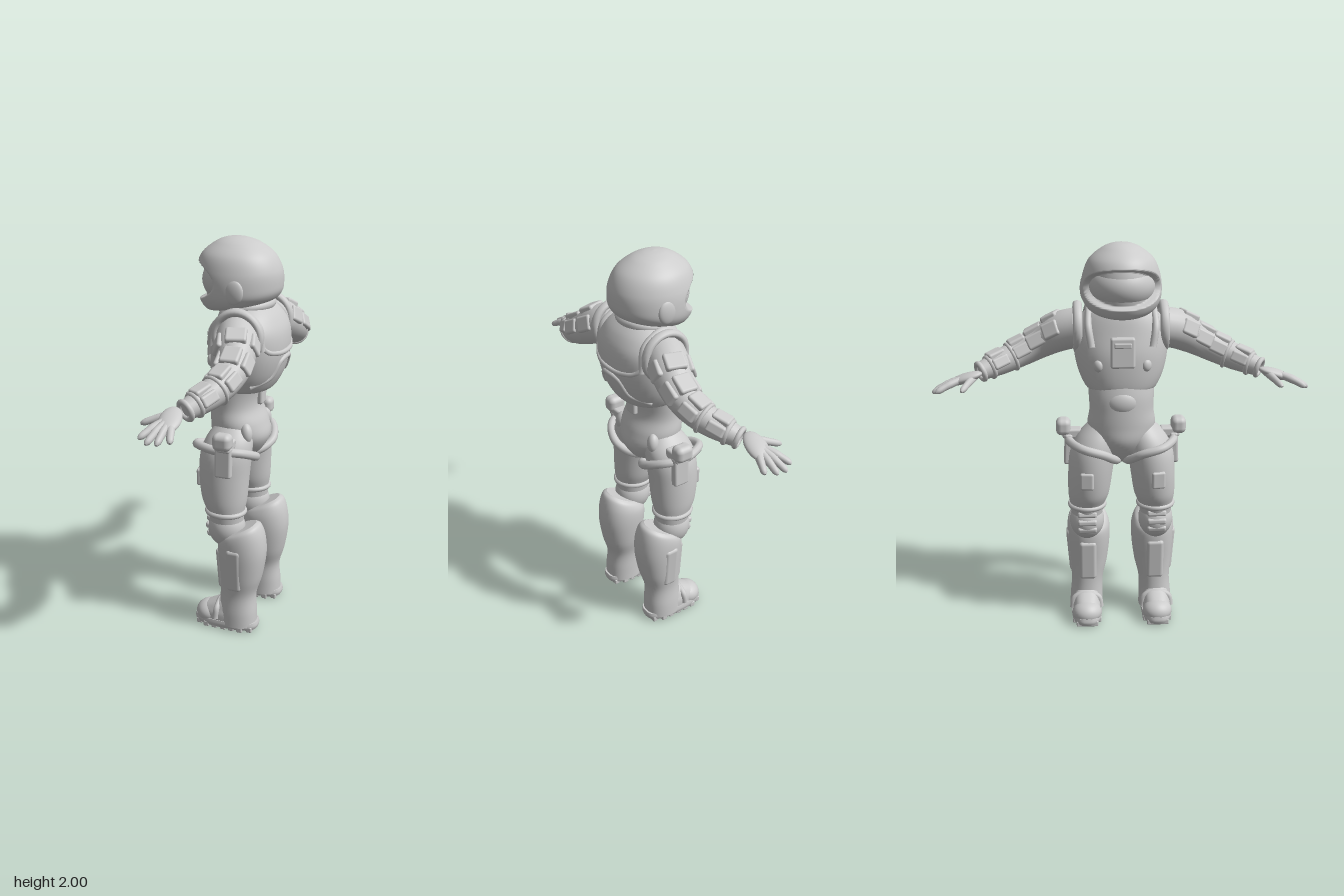
import * as THREE from 'three';
import { RoundedBoxGeometry } from 'three/addons/geometries/RoundedBoxGeometry.js';

const V = (x, y, z) => new THREE.Vector3(x, y, z);
const mat = new THREE.MeshStandardMaterial({ color: 0xcccccc, roughness: 0.7 });

// Closed skin over a list of rings, with flat caps at both ends
function skin(rings) {
  const n = rings[0].length, m = rings.length, pos = [], idx = [];
  rings.forEach(r => r.forEach(p => pos.push(p.x, p.y, p.z)));
  for (let i = 0; i < m - 1; i++) for (let j = 0; j < n; j++) {
    const a = i * n + j, b = i * n + (j + 1) % n;
    idx.push(a, a + n, b, b, a + n, b + n);
  }
  [rings[0], rings[m - 1]].forEach((ring, end) => {
    const base = pos.length / 3, c = V(0, 0, 0);
    ring.forEach(p => { pos.push(p.x, p.y, p.z); c.addScaledVector(p, 1 / n); });
    pos.push(c.x, c.y, c.z);
    for (let j = 0; j < n; j++) {
      const a = base + j, b = base + (j + 1) % n;
      idx.push(base + n, end ? b : a, end ? a : b);
    }
  });
  const g = new THREE.BufferGeometry();
  g.setAttribute('position', new THREE.Float32BufferAttribute(pos, 3));
  g.setIndex(idx);
  g.computeVertexNormals();
  return g;
}

// Smooth interpolation through rows of numbers
function sample(rows, t) {
  const f = t * (rows.length - 1), i = Math.min(Math.floor(f), rows.length - 2), u = f - i;
  const at = k => rows[Math.max(0, Math.min(rows.length - 1, k))];
  return at(i).map((b, k) => {
    const a = at(i - 1)[k], c = at(i + 1)[k], d = at(i + 2)[k];
    return b + 0.5 * u * (c - a + u * (2 * a - 5 * b + 4 * c - d + u * (3 * (b - c) + d - a)));
  });
}

// Upright body from rows [y, cx, cz, rx, rz, forward tilt]
function loft(rows, power = 1, n = 40, steps = 36) {
  const full = rows.map(r => [...r, 0].slice(0, 6)), rings = [];
  const sq = v => Math.sign(v) * Math.abs(v) ** power;
  for (let i = 0; i <= steps; i++) {
    const [y, cx, cz, rx, rz, tilt] = sample(full, i / steps);
    rings.push(Array.from({ length: n }, (_, j) => {
      const a = j / n * Math.PI * 2, s = sq(Math.sin(a));
      return V(cx + rx * sq(Math.cos(a)), y - tilt * s, cz + rz * s);
    }));
  }
  return skin(rings);
}

// Position, direction, up and radius along a limb of rows [x, y, z, r]
function limbFrame(rows, t) {
  const p = sample(rows, t), a = sample(rows, Math.max(0, t - 0.01)), b = sample(rows, Math.min(1, t + 0.01));
  const T = V(b[0] - a[0], b[1] - a[1], b[2] - a[2]).normalize();
  const u = T.clone().cross(V(0, 1, 0)).normalize();
  return { p: V(p[0], p[1], p[2]), r: p[3], T, u, v: u.clone().cross(T) };
}
function limb(rows, n = 24, steps = 30) {
  return skin(Array.from({ length: steps + 1 }, (_, i) => {
    const f = limbFrame(rows, i / steps);
    return Array.from({ length: n }, (_, j) => {
      const a = j / n * Math.PI * 2;
      return f.p.clone().addScaledVector(f.u, f.r * Math.cos(a)).addScaledVector(f.v, f.r * Math.sin(a));
    });
  }));
}

const tube = (pts, r, closed = false) =>
  new THREE.TubeGeometry(new THREE.CatmullRomCurve3(pts.map(p => V(...p)), closed), 60, r, 10, closed);
const box = (w, h, d, r = 0.012) => new RoundedBoxGeometry(w, h, d, 3, r);
const ball = () => new THREE.SphereGeometry(1, 32, 20);

function mirrored(geo) {
  const g = geo.clone().applyMatrix4(new THREE.Matrix4().makeScale(-1, 1, 1));
  const n = g.attributes.position.count;
  const idx = g.index ? Array.from(g.index.array) : Array.from({ length: n }, (_, i) => i);
  for (let i = 0; i < idx.length; i += 3) [idx[i + 1], idx[i + 2]] = [idx[i + 2], idx[i + 1]];
  g.setIndex(idx);
  return g;
}

export function createModel() {
  const model = new THREE.Group();
  model.name = 'spacesuitFigure';
  const body = new THREE.Group();
  body.name = 'body';
  model.add(body);
  const add = (name, geo, pos = [0, 0, 0], rot = [0, 0, 0], scale = [1, 1, 1]) => {
    const q = new THREE.Quaternion().setFromEuler(new THREE.Euler(...rot));
    geo.applyMatrix4(new THREE.Matrix4().compose(V(...pos), q, V(...scale)));
    const mesh = new THREE.Mesh(geo, mat);
    mesh.name = name;
    body.add(mesh);
    return mesh;
  };
  const pair = (name, ...rest) => {
    const m = add('left' + name, ...rest);
    add('right' + name, mirrored(m.geometry));
  };

  // Torso
  add('pelvis', loft([[0.89, 0, -0.04, 0.04, 0.05], [0.93, 0, -0.045, 0.09, 0.1], [1.01, 0, -0.045, 0.15, 0.145],
    [1.09, 0, -0.035, 0.172, 0.14], [1.17, 0, -0.02, 0.162, 0.125], [1.25, 0, -0.025, 0.165, 0.125], [1.34, 0, -0.05, 0.17, 0.13]]));
  const chest = [[1.265, 0, -0.06, 0.15, 0.13], [1.285, 0, -0.065, 0.18, 0.152], [1.36, 0, -0.08, 0.215, 0.175],
    [1.46, 0, -0.092, 0.235, 0.185], [1.56, 0, -0.1, 0.235, 0.172], [1.63, 0, -0.092, 0.2, 0.148], [1.675, 0, -0.08, 0.15, 0.12], [1.69, 0, -0.075, 0.11, 0.1]];
  add('chestShell', loft(chest, 0.9));
  const onBack = (x, y, lift = 0) => {
    let row = chest[0];
    for (let t = 0; t <= 1; t += 0.01) if (sample(chest, t)[0] <= y) row = sample(chest, t);
    return [x, y, row[2] - row[4] * Math.sqrt(Math.max(0, 1 - (x / row[3]) ** 2)) - lift];
  };
  add('backArch', tube([[-0.17, 1.31], [-0.1, 1.35], [-0.06, 1.425], [0, 1.44], [0.06, 1.425], [0.1, 1.35], [0.17, 1.31]]
    .map(p => onBack(...p)), 0.014));
  add('backRidge', tube([[-0.19, 1.6], [-0.165, 1.5], [-0.1, 1.475], [0, 1.47], [0.1, 1.475], [0.165, 1.5], [0.19, 1.6]]
    .map(p => onBack(...p)), 0.013));
  add('backTab', box(0.07, 0.12, 0.03), [0, 1.24, -0.15]);
  add('chestPack', box(0.12, 0.15, 0.05), [0, 1.48, 0.09], [-0.06, 0, 0]);
  add('packSlot', box(0.085, 0.025, 0.02, 0.006), [0, 1.52, 0.113]);
  add('abdomenPlate', ball(), [0, 1.22, 0.06], [0, 0, 0], [0.085, 0.07, 0.052]);
  pair('ChestKnob', ball(), [0.12, 1.41, 0.07], [0, 0.5, 0], [0.025, 0.03, 0.018]);
  add('collar', new THREE.TorusGeometry(0.125, 0.024, 12, 48), [0, 1.675, -0.07], [Math.PI / 2 + 0.12, 0, 0], [1, 0.95, 1]);
  add('neck', new THREE.CylinderGeometry(0.1, 0.11, 0.1, 32), [0, 1.69, -0.06]);
  [-2, -1, 0, 1, 2].forEach(i => add('collarStud', ball(), [i * 0.045, 1.645, 0.045 - i * i * 0.008], [0, 0, 0], [0.014, 0.014, 0.012]));

  // Helmet, with the face opening pressed in, and a visor inside
  const helmet = loft([[1.672, 0, -0.04, 0.09, 0.1, 0.03], [1.68, 0, -0.04, 0.155, 0.165, 0.03], [1.72, 0, -0.038, 0.19, 0.198, 0.02],
    [1.78, 0, -0.035, 0.197, 0.212], [1.85, 0, -0.032, 0.188, 0.21], [1.92, 0, -0.028, 0.158, 0.178], [1.97, 0, -0.025, 0.1, 0.115],
    [1.993, 0, -0.02, 0.05, 0.058], [2, 0, -0.02, 0.004, 0.004]], 1, 120, 100);
  const hp = helmet.attributes.position;
  for (let i = 0; i < hp.count; i++) {
    const x = hp.getX(i), z = hp.getZ(i) + 0.035;
    const d = Math.hypot(Math.atan2(x, z) / 1.25, (hp.getY(i) - 1.795) / 0.095);
    const k = 1 - 0.2 * THREE.MathUtils.smoothstep(1 - d, 0, 0.1);
    hp.setX(i, x * k);
    hp.setZ(i, z * k - 0.035);
  }
  helmet.computeVertexNormals();
  add('helmet', helmet);
  add('visor', new THREE.SphereGeometry(1, 48, 32), [0, 1.795, -0.04], [0, 0, 0], [0.172, 0.135, 0.19]);
  pair('HelmetEarPad', ball(), [0.182, 1.77, -0.07], [0, 0, 0], [0.02, 0.06, 0.05]);

  // Arms with plates, rings and cuffs
  const arm = [[0.2, 1.57, -0.1, 0.1], [0.29, 1.545, -0.132, 0.1], [0.4, 1.485, -0.16, 0.083],
    [0.5, 1.435, -0.15, 0.073], [0.6, 1.395, -0.11, 0.064], [0.7, 1.36, -0.055, 0.046]];
  pair('Arm', limb(arm));
  pair('ShoulderRing', new THREE.TorusGeometry(0.112, 0.018, 12, 40), [0.215, 1.572, -0.105], [0, Math.PI / 2, -0.25], [1, 1, 1.3]);
  pair('ShoulderStrap', tube([[0.15, 1.5, 0.06], [0.165, 1.6, 0.03], [0.16, 1.675, -0.07], [0.17, 1.62, -0.19], [0.18, 1.5, -0.215]], 0.018));
  const armPart = (name, geo, t, angle, lift) => {
    const f = limbFrame(arm, t), N = f.v.clone().negate();
    if (N.y < 0) N.negate();
    N.applyAxisAngle(f.T, angle);
    geo.applyMatrix4(new THREE.Matrix4().makeBasis(f.T, N, f.T.clone().cross(N)).setPosition(f.p.clone().addScaledVector(N, lift ? f.r - 0.014 : 0)));
    pair(name, geo);
  };
  [[0.24, 0.09, 0.1], [0.41, 0.1, 0.09], [0.6, 0.09, 0.08], [0.83, 0.09, 0.07]].forEach(([t, len, w]) =>
    [-1.2, 0, 1.2].forEach(a => armPart('ArmPlate', box(len, 0.045, w * (a ? 0.8 : 1)), t, a, true)));
  [[0.7, 0.068, 0.01], [0.9, 0.052, 0.012], [1, 0.043, 0.013]].forEach(([t, r, w]) =>
    armPart('ArmCuff', new THREE.TorusGeometry(r, w, 10, 32).rotateY(Math.PI / 2), t, 0, false));

  // Hands
  pair('Palm', ball(), [0.775, 1.337, -0.015], [0, 0.18, -0.32], [0.09, 0.025, 0.052]);
  [[0.825, 1.327, 0.022, 0.913, 1.288, 0.07], [0.84, 1.322, 0.003, 0.935, 1.275, 0.027],
    [0.835, 1.32, -0.02, 0.928, 1.275, -0.02], [0.82, 1.32, -0.04, 0.9, 1.28, -0.07], [0.735, 1.342, 0.01, 0.785, 1.305, 0.122]]
    .forEach(([x, y, z, X, Y, Z], i) => {
      const mix = (t, r) => [x + (X - x) * t, y + (Y - y) * t + 0.01 * t * (1 - t), z + (Z - z) * t, r];
      pair(i < 4 ? 'Finger' : 'Thumb', limb([mix(-0.3, 0.017), mix(0.2, 0.019), mix(0.5, 0.017), mix(0.85, 0.015), mix(1, 0.006)], 12, 12));
    });

  // Legs
  pair('Thigh', loft([[0.59, 0.18, -0.035, 0.08, 0.085], [0.65, 0.178, -0.03, 0.088, 0.095], [0.72, 0.17, -0.02, 0.105, 0.116],
    [0.84, 0.16, -0.015, 0.114, 0.128], [0.95, 0.147, -0.02, 0.116, 0.13], [1.03, 0.125, -0.03, 0.1, 0.115], [1.1, 0.1, -0.035, 0.06, 0.07]]));
  pair('Knee', ball(), [0.18, 0.56, -0.035], [0, 0, 0], [0.09, 0.105, 0.096]);
  [0.53, 0.57, 0.61].forEach((y, i) => pair('KneeBand', box(0.1, 0.032, 0.05), [0.18, y, 0.038 - Math.abs(i - 1) * 0.006], [0.25 - i * 0.25, 0, 0]));
  pair('KneeCuff', new THREE.TorusGeometry(0.087, 0.014, 10, 40), [0.178, 0.65, -0.03], [Math.PI / 2, 0, 0], [1, 1.07, 1]);
  pair('Shin', loft([[0.03, 0.186, -0.1, 0.088, 0.1], [0.1, 0.185, -0.1, 0.086, 0.098], [0.2, 0.18, -0.1, 0.083, 0.093],
    [0.3, 0.174, -0.113, 0.1, 0.108], [0.42, 0.171, -0.117, 0.112, 0.123, 0.005], [0.5, 0.171, -0.113, 0.112, 0.121, 0.02],
    [0.545, 0.174, -0.108, 0.1, 0.105, 0.04], [0.56, 0.176, -0.103, 0.08, 0.085, 0.04]], 0.92));
  pair('CalfPanel', box(0.05, 0.24, 0.08, 0.02), [0.257, 0.36, -0.105], [0, 0, -0.08]);
  pair('ShinPanel', box(0.09, 0.22, 0.04, 0.018), [0.178, 0.33, -0.013], [0.08, 0, 0]);

  // Boots
  pair('Boot', loft([[0.04, 0.187, -0.04, 0.076, 0.16], [0.08, 0.187, -0.042, 0.075, 0.155], [0.11, 0.187, -0.055, 0.068, 0.135],
    [0.145, 0.186, -0.08, 0.06, 0.095], [0.17, 0.185, -0.09, 0.045, 0.06]], 0.85));
  pair('ToeCap', ball(), [0.187, 0.06, 0.055], [0, 0, 0], [0.077, 0.06, 0.073]);
  pair('BootStrap', tube([[0.262, 0.06, 0], [0.25, 0.115, -0.005], [0.187, 0.14, -0.005], [0.124, 0.115, -0.005], [0.112, 0.06, 0]], 0.016));
  pair('Sole', loft([[0.012, 0.187, -0.04, 0.076, 0.166], [0.03, 0.187, -0.04, 0.081, 0.172], [0.05, 0.187, -0.04, 0.079, 0.169]], 0.75, 48, 8));
  for (let i = 0; i < 7; i++)
    pair('Tread', box(i % 6 ? 0.152 : 0.115, 0.03, 0.03, 0.006), [0.187, 0.015, -0.178 + i * 0.046]);

  // Hip belts, pouches and pads
  pair('HipBelt', tube([[0.268, 1.0, -0.03], [0.2, 0.995, 0.115], [0.1, 0.965, 0.12], [0.03, 0.91, 0.04],
    [0.035, 0.9, -0.1], [0.12, 0.94, -0.165], [0.23, 0.99, -0.125]], 0.022, true));
  pair('HipPouch', box(0.075, 0.085, 0.095, 0.028), [0.295, 1.065, -0.06]);
  pair('PouchFlap', box(0.04, 0.16, 0.085), [0.272, 0.95, -0.055], [0, 0, 0.04]);
  pair('PouchMount', box(0.1, 0.05, 0.07), [0.25, 1.03, -0.06]);
  pair('HipPad', ball(), [0.135, 1.06, -0.12], [0, 0.7, 0.2], [0.035, 0.05, 0.03]);
  pair('ThighPad', box(0.07, 0.09, 0.04), [0.18, 0.82, 0.1], [0, 0.15, 0]);

  // The figure stands turned towards -x
  body.rotation.y = THREE.MathUtils.degToRad(-110.5);
  return model;
}
